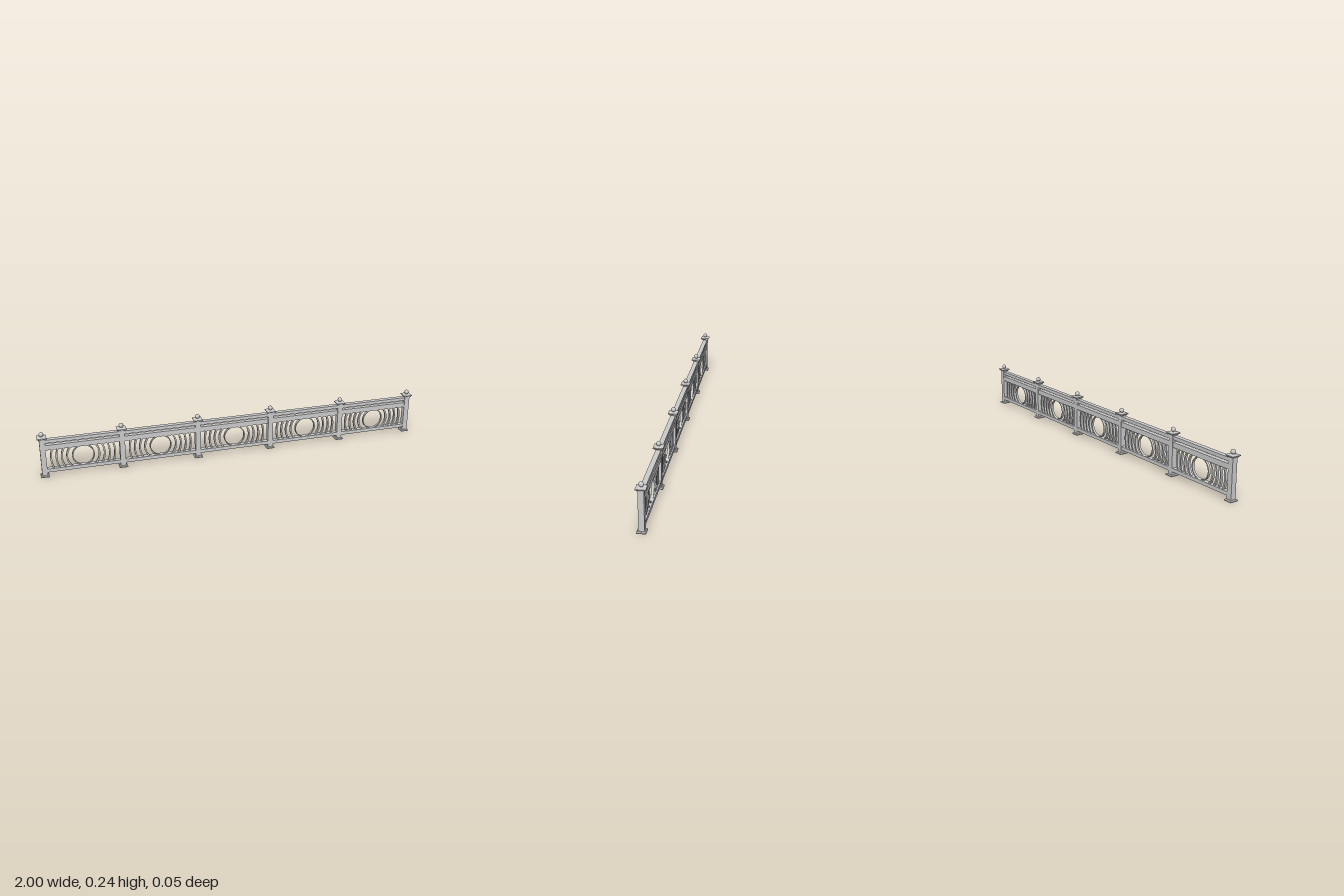
import * as THREE from 'three';

const POSTS = 6, SPACING = 0.3906, POST_W = 0.027;
const RING_Y = 0.092, ARC_REACH = 0.054;

export function createModel() {
  const model = new THREE.Group();
  const smooth = new THREE.MeshStandardMaterial({ color: 0xcccccc });
  const flat = new THREE.MeshStandardMaterial({ color: 0xcccccc, flatShading: true });

  const add = (parent, name, geometry, material, x = 0, y = 0, z = 0) => {
    const mesh = new THREE.Mesh(geometry, material);
    mesh.name = name;
    mesh.position.set(x, y, z);
    parent.add(mesh);
  };

  // Square turned profile: points are [half width, height]
  const squareLathe = (profile) => new THREE.LatheGeometry(
    profile.map(([w, y]) => new THREE.Vector2(w * Math.SQRT2, y)), 4, Math.PI / 4);

  // Flat curved bar between two radii, spanning +-angle about the +x or -x axis
  const arcBar = (outer, inner, angle, middle) => {
    const shape = new THREE.Shape();
    shape.absarc(0, 0, outer, middle - angle, middle + angle, false);
    shape.absarc(0, 0, inner, middle + angle, middle - angle, true);
    shape.closePath();
    return extrude(shape);
  };
  const extrude = (shape) => new THREE.ExtrudeGeometry(shape,
    { depth: 0.012, bevelEnabled: false, curveSegments: 20 }).translate(0, 0, -0.006);

  // Post parts
  const h = POST_W / 2;
  const shaft = new THREE.BoxGeometry(POST_W, 0.2, POST_W);
  const base = squareLathe([[0, 0], [0.021, 0], [0.021, 0.005], [0.017, 0.009], [h, 0.009]]);
  const cap = squareLathe([[0, 0.2], [0.016, 0.2], [0.018, 0.204], [0.0235, 0.208],
    [0.0235, 0.212], [0.012, 0.214], [0, 0.217]]);
  const neck = new THREE.CylinderGeometry(0.005, 0.009, 0.006, 20);
  const ball = new THREE.SphereGeometry(0.0115, 24, 16);

  for (let i = 0; i < POSTS; i++) {
    const post = new THREE.Group();
    post.name = 'post';
    post.position.x = (i - (POSTS - 1) / 2) * SPACING;
    add(post, 'postShaft', shaft, flat, 0, 0.102);
    add(post, 'postBase', base, flat);
    add(post, 'postCap', cap, flat);
    add(post, 'finialNeck', neck, smooth, 0, 0.215);
    add(post, 'finialBall', ball, smooth, 0, 0.226);
    model.add(post);
  }

  // Panel parts: [name, bottom, top, depth]
  const rails = [['topRail', 0.181, 0.198, 0.024], ['middleRail', 0.143, 0.169, 0.022],
    ['bottomRail', 0.023, 0.041, 0.024]];
  const ringShape = new THREE.Shape().absarc(0, 0, 0.056, 0, Math.PI * 2, false);
  ringShape.holes.push(new THREE.Path().absarc(0, 0, 0.051, 0, Math.PI * 2, true));
  const ring = extrude(ringShape);
  const arcs = [0.08, 0.106, 0.132, 0.158].flatMap((r) => [0, Math.PI].map(
    (middle) => arcBar(r + 0.004, r - 0.004, Math.asin(ARC_REACH / r), middle)));

  for (let i = 0; i < POSTS - 1; i++) {
    const panel = new THREE.Group();
    panel.name = 'panel';
    panel.position.x = (i - (POSTS - 2) / 2) * SPACING;
    for (const [name, y0, y1, depth] of rails) {
      add(panel, name, new THREE.BoxGeometry(SPACING - POST_W + 0.002, y1 - y0, depth),
        flat, 0, (y0 + y1) / 2);
    }
    add(panel, 'centreRing', ring, smooth, 0, RING_Y);
    arcs.forEach((arc) => add(panel, 'curvedBar', arc, smooth, 0, RING_Y));
    model.add(panel);
  }
  return model;
}
